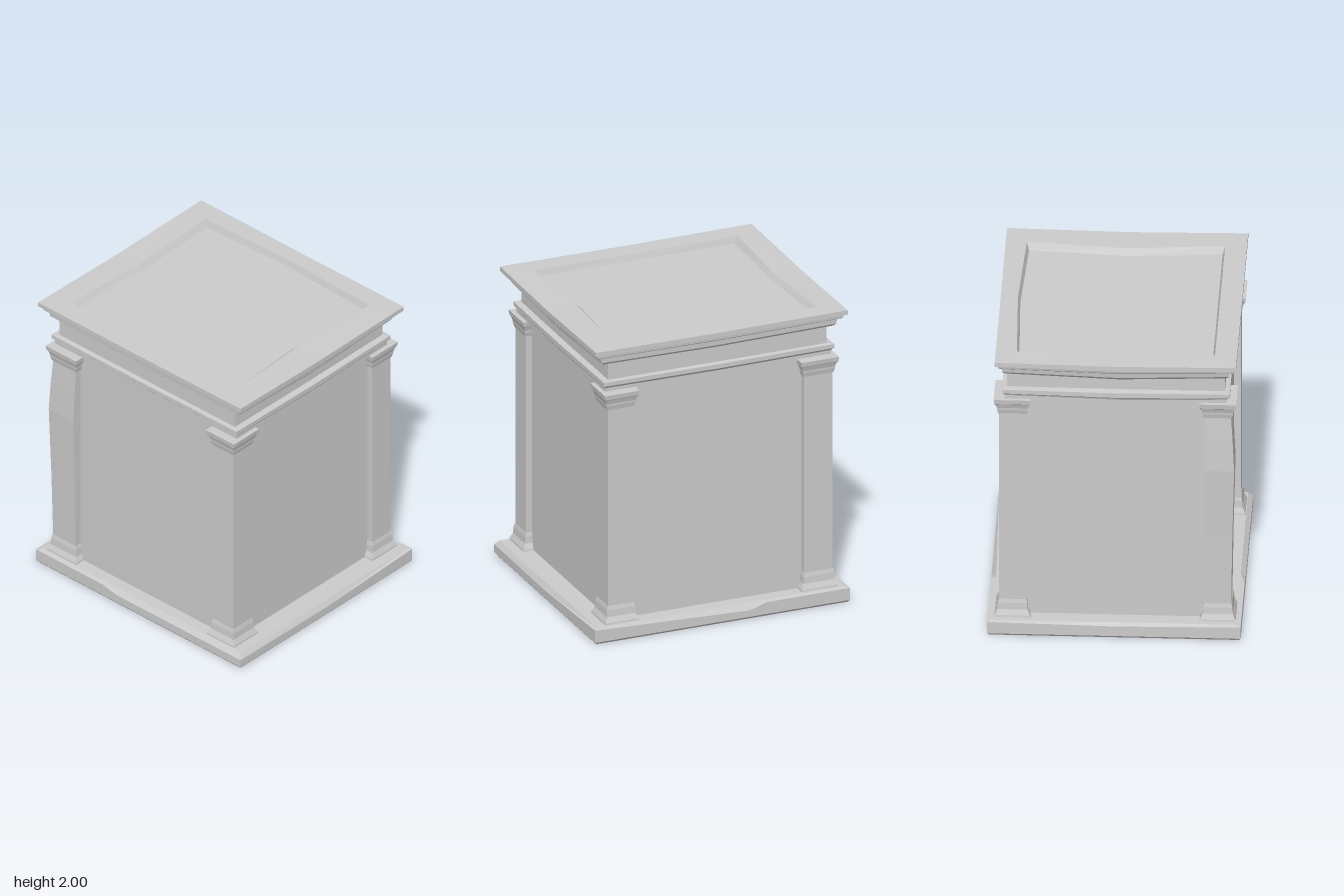
import * as THREE from 'three';

const material = new THREE.MeshStandardMaterial({ color: 0xcccccc, flatShading: true });

// Skins a stack of closed rings from bottom to top and caps both ends.
function loft(name, rings) {
  const n = rings[0].length, pos = [];
  const tri = (a, b, c) => pos.push(...a, ...b, ...c);
  for (let r = 0; r < rings.length - 1; r++) {
    for (let i = 0; i < n; i++) {
      const j = (i + 1) % n, lo = rings[r], hi = rings[r + 1];
      tri(lo[i], lo[j], hi[j]);
      tri(lo[i], hi[j], hi[i]);
    }
  }
  const centre = ring => [0, 1, 2].map(k => ring.reduce((s, p) => s + p[k], 0) / n);
  const bottom = rings[0], top = rings[rings.length - 1];
  const cb = centre(bottom), ct = centre(top);
  for (let i = 0; i < n; i++) {
    const j = (i + 1) % n;
    tri(cb, bottom[j], bottom[i]);
    tri(ct, top[i], top[j]);
  }
  const geometry = new THREE.BufferGeometry();
  geometry.setAttribute('position', new THREE.Float32BufferAttribute(pos, 3));
  geometry.computeVertexNormals();
  const mesh = new THREE.Mesh(geometry, material);
  mesh.name = name;
  return mesh;
}

// Rectangular ring with a midpoint on each side; the midpoints sag and may bow.
function ring(x0, x1, z0, z1, y, sag = 0, bow = {}) {
  const { right = 0, back = 0, front = 0 } = bow;
  const xm = (x0 + x1) / 2 - 0.02, zm = (z0 + z1) / 2;
  return [
    [x1, y, z1], [x1 + right, y - sag * 0.4, zm],
    [x1, y, z0], [xm, y - sag, z0 + back],
    [x0, y, z0], [x0, y - sag * 0.4, zm],
    [x0, y, z1], [xm, y - sag, z1 + front],
  ];
}

// Entablature rings share a slightly shifted centre.
const moulding = ([hx, hz, y, sag]) => ring(-0.01 - hx, -0.01 + hx, -0.012 - hz, -0.012 + hz, y, sag);

// Plinth with worn upper edges and a chip on either side.
function plinth() {
  const outline = [
    // x, z, height of the worn edge
    [0.81, 0.89, 0.1], [0.81, -0.18, 0.06], [0.81, -0.3, 0.097],
    [0.81, -0.88, 0.098], [0, -0.88, 0.085], [-0.81, -0.88, 0.097],
    [-0.81, -0.3, 0.095], [-0.81, -0.18, 0.07], [-0.81, 0.89, 0.07], [0, 0.89, 0.065],
  ];
  const level = (dx, dz, height) => outline.map(([x, z, worn]) =>
    [x - Math.sign(x) * dx, height ?? worn, Math.abs(z) > 0.5 ? z - Math.sign(z) * dz : z]);
  return loft('plinth', [
    level(0.012, 0.012, 0), level(0, 0, 0.015), level(0, 0), level(0.03, 0.025, 0.103),
  ]);
}

// Square corner pillar: flared foot, shaft, stepped capital.
function pillar(name, x, z, hx, hz, bulge) {
  const profile = [
    // height, flare beyond the shaft, share of the bulge
    [0.1, 0.03, 0], [0.115, 0.028, 0], [0.15, 0.012, 0], [0.195, 0.009, 0],
    [0.22, 0.003, 0], [0.22, 0, 0],
    [0.7, 0, 0.4], [1.2, 0, 1], [1.42, 0, 0.5],
    [1.58, 0, 0], [1.58, 0.006, 0], [1.61, 0.013, 0], [1.625, 0.014, 0],
    [1.655, 0.024, 0], [1.66, 0.03, 0], [1.692, 0.034, 0],
  ];
  return loft(name, profile.map(([y, f, b]) => ring(
    x - hx - f - b * bulge, x + hx + f, z - hz - f - b * bulge, z + hz + f, y)));
}

export function createModel() {
  const model = new THREE.Group();
  model.name = 'pedestal';
  model.add(plinth());

  // Recessed wall block between the pillars
  model.add(loft('body', [
    ring(-0.7, 0.69, -0.755, 0.73, 0.095), ring(-0.7, 0.69, -0.755, 0.73, 1.7)]));

  // Four pillars; the back one at -x is warped outwards
  for (const [side, x] of [['Left', 0.65], ['Right', -0.66]]) {
    model.add(pillar('frontPillar' + side, x, 0.6825, 0.085, 0.0875, 0));
    model.add(pillar('backPillar' + side, x, -0.6925, 0.085, 0.0975, x < 0 ? 0.02 : 0));
  }

  // Lower moulding
  model.add(loft('architrave', [
    [0.69, 0.74, 1.69, 0.02], [0.708, 0.785, 1.69, 0.02], [0.708, 0.785, 1.717, 0.018],
    [0.718, 0.79, 1.727, 0.016], [0.727, 0.8, 1.735, 0.015], [0.727, 0.8, 1.762, 0.008],
    [0.69, 0.755, 1.766, 0.004],
  ].map(moulding)));

  model.add(loft('frieze', [[0.695, 0.758, 1.74, 0], [0.695, 0.758, 1.92, 0]].map(moulding)));

  // Crown moulding, flat rim and sunken top panel
  const rings = [
    [0.69, 0.755, 1.885, 0.025], [0.705, 0.8, 1.882, 0.025], [0.724, 0.815, 1.9, 0.025],
    [0.726, 0.82, 1.932, 0.022], [0.74, 0.84, 1.938, 0.02], [0.75, 0.85, 1.945, 0.018],
    [0.752, 0.855, 1.963, 0.016], [0.77, 0.875, 1.97, 0.015], [0.77, 0.875, 2, 0.01],
  ].map(moulding);
  rings.push(
    ring(-0.64, 0.625, -0.73, 0.693, 2, 0.01, { right: 0.025, back: 0.025, front: -0.04 }),
    ring(-0.625, 0.61, -0.7, 0.66, 1.955, 0, { right: 0.025, back: 0.02, front: -0.045 }));
  model.add(loft('cornice', rings));

  return model;
}
